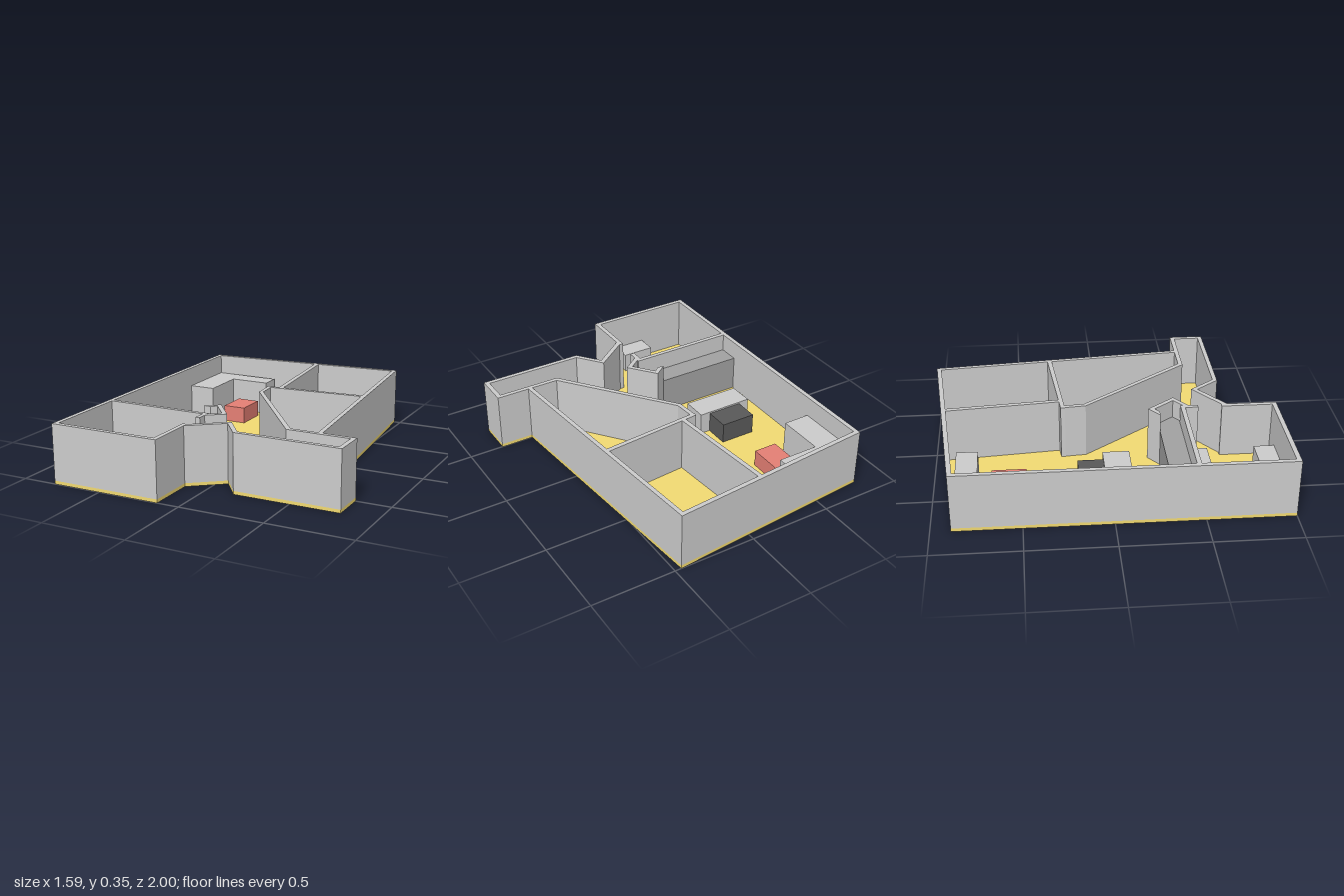
import * as THREE from 'three';

const FLOOR = 0.02, TOP = 0.35;

const material = (color) => new THREE.MeshStandardMaterial({ color, flatShading: true });
const grey = material(0xcccccc);
const yellow = material(0xf2da72);
const darkGrey = material(0x595959);
const midGrey = material(0xa1a1a1);
const red = material(0xe47f74);

// plan points are [x, z]
const toPlan = (points) => points.map(([x, z]) => new THREE.Vector2(x, -z));

export function createModel() {
  const group = new THREE.Group();

  // upright prism over a plan outline; a hole runs opposite to the outline
  function prism(name, points, y0, y1, mat, hole) {
    const shape = new THREE.Shape(toPlan(points));
    if (hole) shape.holes.push(new THREE.Path(toPlan(hole).reverse()));
    const geo = new THREE.ExtrudeGeometry(shape, { depth: y1 - y0, bevelEnabled: false });
    geo.rotateX(-Math.PI / 2);
    const mesh = new THREE.Mesh(geo, mat);
    mesh.name = name;
    mesh.position.y = y0;
    group.add(mesh);
  }

  // box standing on the floor
  function block(name, x0, x1, z0, z1, top, mat = grey) {
    const mesh = new THREE.Mesh(new THREE.BoxGeometry(x1 - x0, top - FLOOR, z1 - z0), mat);
    mesh.name = name;
    mesh.position.set((x0 + x1) / 2, (top + FLOOR) / 2, (z0 + z1) / 2);
    group.add(mesh);
  }

  // floor slab and outer walls share one outline
  const outline = [
    [-0.795, -0.887], [0.462, -1], [0.597, 0.497], [0.795, 0.497], [0.795, 0.702], [0.167, 0.702],
    [0.062, 0.566], [-0.13, 0.713], [-0.13, 1], [-0.795, 1],
  ];
  const inside = [
    [-0.768, -0.862], [0.439, -0.971], [0.573, 0.523], [0.768, 0.523], [0.768, 0.676], [0.18, 0.676],
    [0.066, 0.529], [-0.13, 0.676], [-0.157, 0.676], [-0.157, 0.973], [-0.768, 0.973],
  ];
  prism('floor', outline, 0, FLOOR, yellow);
  prism('outerWalls', outline, FLOOR, TOP, grey, inside);

  // inner walls
  prism('backRoomSideWall', [[-0.09, -0.93], [-0.063, -0.933], [-0.003, -0.265], [-0.03, -0.262]], FLOOR, TOP, grey);
  prism('roomDividerWall', [[-0.104, -0.26], [0.502, -0.315], [0.504, -0.288], [-0.104, -0.235]], FLOOR, TOP, grey);
  prism('diagonalHallWall', [
    [-0.104, -0.26], [-0.077, -0.25], [-0.067, -0.122], [0.409, 0.497], [0.597, 0.497], [0.597, 0.523],
    [0.394, 0.523], [-0.091, -0.113],
  ], FLOOR, TOP, grey);
  prism('washroomWall', [
    [-0.235, 0.308], [-0.155, 0.245], [-0.029, 0.406], [-0.13, 0.483], [-0.13, 0.538], [-0.157, 0.538],
    [-0.157, 0.462], [-0.775, 0.462], [-0.775, 0.436], [-0.13, 0.436], [-0.13, 0.449], [-0.066, 0.401],
    [-0.159, 0.282], [-0.192, 0.308],
  ], FLOOR, TOP, grey);

  // long ledge against the washroom wall
  prism('ledge', [
    [-0.768, 0.308], [-0.192, 0.308], [-0.159, 0.282], [-0.066, 0.401], [-0.113, 0.436], [-0.768, 0.436],
  ], FLOOR, 0.24, midGrey);

  // furniture
  prism('kitchenCounter', [
    [-0.768, -0.86], [-0.358, -0.86], [-0.358, -0.738], [-0.606, -0.738], [-0.606, -0.455], [-0.768, -0.455],
  ], FLOOR, 0.23, grey);
  block('redTable', -0.528, -0.385, -0.667, -0.47, 0.12, red);
  block('darkCabinet', -0.574, -0.358, -0.18, -0.032, 0.145, darkGrey);
  block('sofa', -0.64, -0.294, -0.032, 0.122, 0.155);
  block('washstand', -0.47, -0.272, 0.462, 0.578, 0.14);
  block('frontBench', -0.47, -0.272, 0.853, 0.973, 0.14);

  return group;
}
